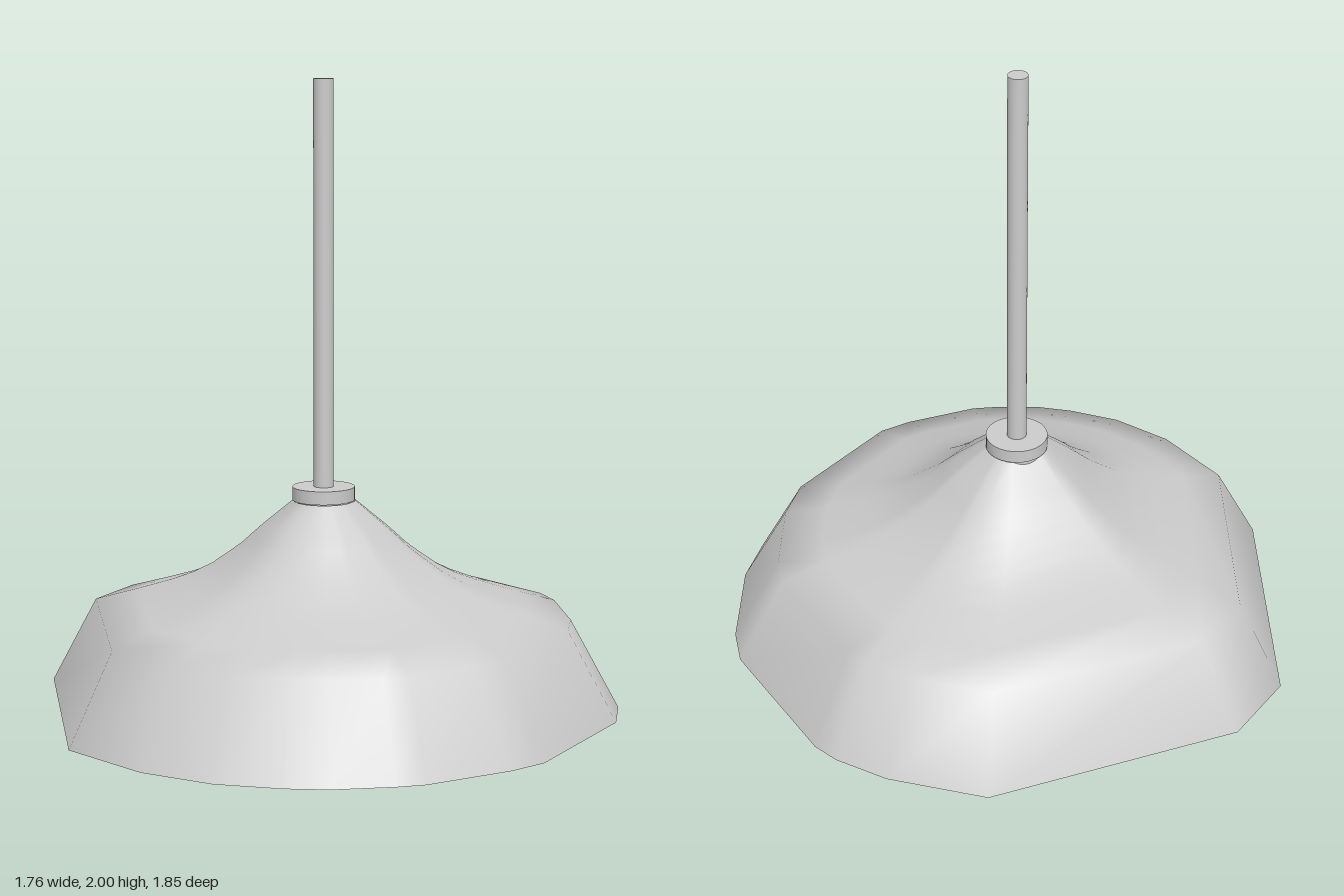
import * as THREE from 'three';

const AXIS_X = -0.045, AXIS_Z = 0.005;
const gray = () => new THREE.MeshStandardMaterial({ color: 0xcccccc, side: THREE.DoubleSide });

// Irregular rim outline, x and z
const rim = [
  [0.09, -0.925], [0.395, -0.825], [0.55, -0.73], [0.615, -0.665], [0.86, -0.23],
  [0.88, -0.1], [0.857, 0.22], [0.8, 0.39], [0.47, 0.77], [0.355, 0.83],
  [0.085, 0.917], [0, 0.922], [-0.19, 0.913], [-0.32, 0.88], [-0.51, 0.8],
  [-0.7, 0.65], [-0.885, 0.385], [-0.865, -0.45], [-0.7, -0.665],
].map(([x, z]) => [x - AXIS_X, z - AXIS_Z]);

// Shade section: fraction of the rim, height
const profile = [
  [1, 0.035], [0.835, 0.315], [0.68, 0.36], [0.55, 0.4], [0.47, 0.43], [0.4, 0.465],
  [0.34, 0.505], [0.29, 0.54], [0.25, 0.575], [0.214, 0.605], [0.108, 0.69],
];

// Rim outline shrunk ring by ring, ending in a round opening under the collar
function shadeGeometry() {
  const n = rim.length, pos = [], index = [];
  profile.forEach(([s, y], j) => {
    const round = j === profile.length - 1 ? 1 : 0;
    for (const [x, z] of rim) {
      const len = Math.hypot(x, z);
      const k = round ? 0.098 / len : s;
      pos.push(x * k, y, z * k);
    }
  });
  for (let j = 0; j < profile.length - 1; j++) {
    for (let i = 0; i < n; i++) {
      const a = j * n + i, b = j * n + (i + 1) % n;
      index.push(a, a + n, b, b, a + n, b + n);
    }
  }
  const g = new THREE.BufferGeometry();
  g.setAttribute('position', new THREE.Float32BufferAttribute(pos, 3));
  g.setIndex(index);
  g.computeVertexNormals();
  return g;
}

export function createModel() {
  const lamp = new THREE.Group();
  lamp.name = 'pendantLamp';
  lamp.position.set(AXIS_X, 0, AXIS_Z - 0.01);

  const add = (name, geometry) => {
    const mesh = new THREE.Mesh(geometry, gray());
    mesh.name = name;
    lamp.add(mesh);
    return mesh;
  };
  const rod = (name, r, y0, y1) => {
    add(name, new THREE.CylinderGeometry(r, r, y1 - y0, 32)).position.y = (y0 + y1) / 2;
  };

  add('shade', shadeGeometry()).position.z = 0.01;
  rod('hangingRod', 0.031, 0.72, 2);
  rod('collar', 0.098, 0.69, 0.732);
  rod('socket', 0.093, 0.31, 0.7);
  rod('bulbCap', 0.085, 0.28, 0.31);

  // Pear-shaped bulb
  const bulb = [
    [0, 0], [0.045, 0.006], [0.09, 0.032], [0.125, 0.075], [0.143, 0.13],
    [0.138, 0.175], [0.118, 0.22], [0.095, 0.255], [0.085, 0.285],
  ].map(([r, y]) => new THREE.Vector2(r, y));
  add('bulb', new THREE.LatheGeometry(bulb, 16));

  return lamp;
}
